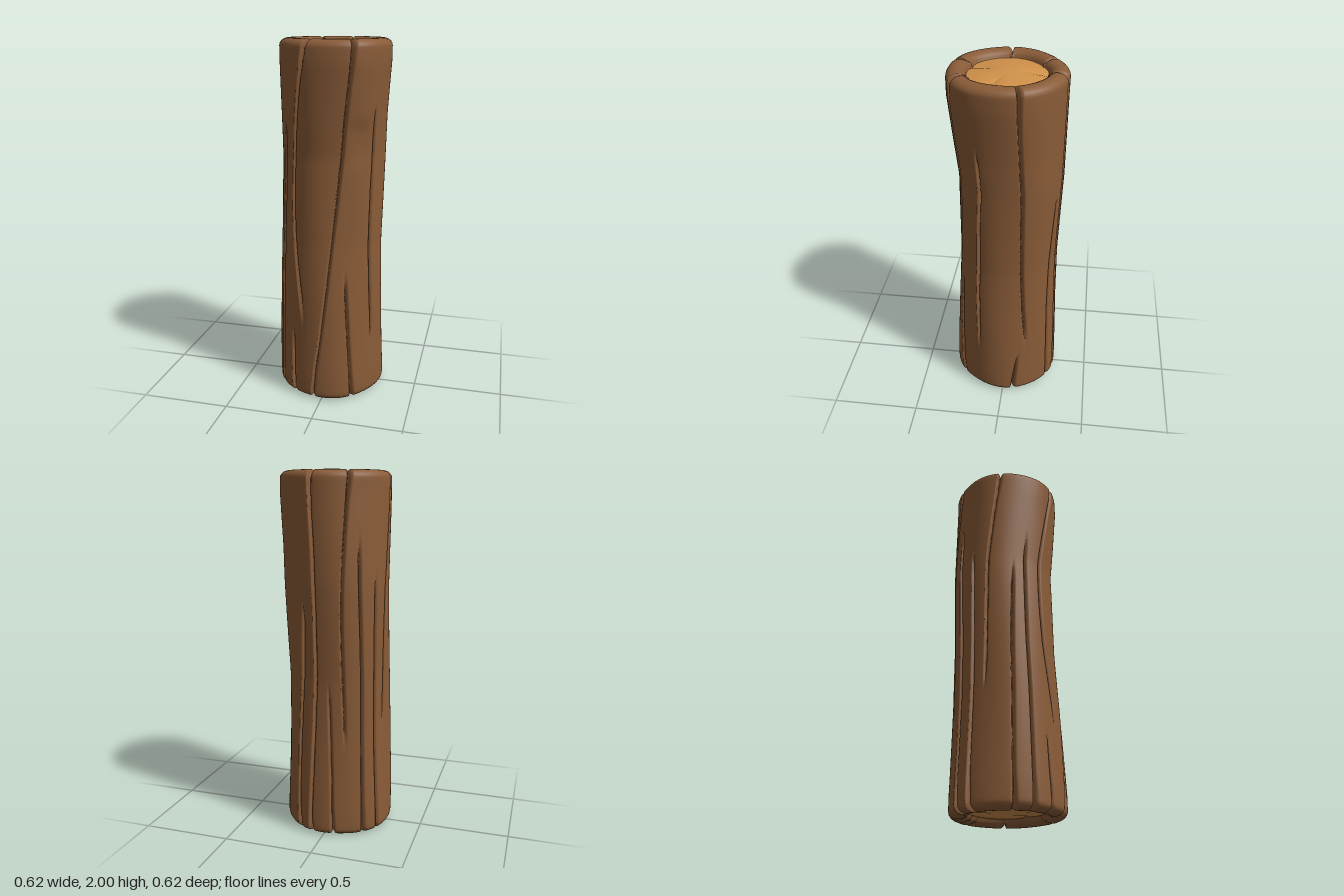
import * as THREE from 'three';

const bark = new THREE.MeshStandardMaterial({ color: 0x8a5c38 });
const wood = new THREE.MeshStandardMaterial({ color: 0xd0914a });
bark.name = 'bark brown';
wood.name = 'cut wood tan';

const { smoothstep: smooth, lerp } = THREE.MathUtils;

// Trunk outline: y, xMin, xMax, zMin, zMax
const outline = [
  [0.12, -0.312, 0.296, -0.302, 0.31],
  [0.6, -0.298, 0.282, -0.288, 0.288],
  [0.9, -0.294, 0.275, -0.286, 0.27],
  [1.4, -0.287, 0.287, -0.306, 0.26],
  [1.6, -0.286, 0.294, -0.306, 0.28],
  [1.88, -0.286, 0.316, -0.304, 0.305],
];

// Outline values at height y
function outlineAt(y) {
  let i = 1;
  while (i < outline.length - 1 && y > outline[i][0]) i++;
  const a = outline[i - 1], b = outline[i];
  const t = THREE.MathUtils.clamp((y - a[0]) / (b[0] - a[0]), 0, 1);
  return a.map((v, c) => lerp(v, b[c], t));
}

// Bark splits: low y, angle, high y, angle, sideways bow (0 = front, 90 = left side)
const splits = [
  [0.42, -19, 2, -20, -16], [0, -10, 2, 30, 4], [0, 35, 0.8, 27, 0], [0, -34, 0.45, -36, 0],
  [0.3, 63, 1.7, 62, -4], [0.33, 119, 2, 106, -4], [0, 101, 0.35, 110, 0], [0, 148, 1.35, 157, -3],
  [0, 163, 2, 170, 3], [0, 188, 0.9, 184, 1], [0.5, 203, 2, 211, -7], [0, 222, 1.7, 221, 0],
  [0, 240, 1.5, 243, -2], [0.6, 255, 2, 270, -2], [0, 284, 1.4, 291, -2], [0, 304, 1.6, 306, -1],
];

// Each split has one sharp side and one softly rounded side
function splitDepth(deg, y) {
  const end = Math.max(smooth(y, 1.75, 2), 1 - smooth(y, 0, 0.2));
  let deepest = 0;
  for (const [y0, a0, y1, a1, bow] of splits) {
    if (y < y0 || y > y1) continue;
    const t = (y - y0) / (y1 - y0);
    const angle = lerp(a0, a1, t) + bow * Math.sin(Math.PI * t);
    const off = ((deg - angle + 900) % 360) - 180;
    const near = Math.abs(off) / (off < 0 ? 1.7 : 4 + 2 * end);
    if (near >= 1) continue;
    const fadeLow = y0 > 0 ? smooth(y, y0, y0 + 0.2) : 1;
    const fadeHigh = y1 < 2 ? 1 - smooth(y, y1 - 0.2, y1) : 1;
    deepest = Math.max(deepest, 0.026 * (1 + 0.4 * end) * fadeLow * fadeHigh * (1 - near) ** 2);
  }
  return deepest;
}

// Gentle swells and a dented ledge on the bark
function swell(deg, y) {
  const a = THREE.MathUtils.degToRad(deg);
  const waves = 0.003 * Math.sin(5 * a + 2.2 * y) + 0.003 * Math.sin(3 * a - 4 * y + 1);
  const ledge = Math.exp(-(((deg - 42) / 13) ** 2)) * smooth(y, 1.3, 1.5) * (1 - smooth(y, 1.55, 1.6));
  return waves - 0.012 * ledge;
}

function barkPoint(deg, y, inset) {
  const [, x0, x1, z0, z1] = outlineAt(y);
  const cut = splitDepth(deg, y);
  const shrink = inset - swell(deg, y) + cut * (1 - smooth(inset, 0.06, 0.12));
  const notch = inset > 0 ? cut * 0.55 * (1 - smooth(inset, 0.08, 0.13)) : 0;
  const a = THREE.MathUtils.degToRad(deg);
  return [
    (x0 + x1) / 2 + ((x1 - x0) / 2 - shrink) * Math.sin(a),
    y + (y > 1 ? -notch : notch),
    (z0 + z1) / 2 + ((z1 - z0) / 2 - shrink) * Math.cos(a),
  ];
}

function makeGeometry(points, index) {
  const g = new THREE.BufferGeometry();
  g.setAttribute('position', new THREE.Float32BufferAttribute(points, 3));
  g.setIndex(index);
  g.computeVertexNormals();
  return g;
}

// Closed loops of points joined into one smooth skin
function skin(loops) {
  const index = [], columns = loops[0].length;
  for (let i = 0; i < loops.length - 1; i++) {
    for (let j = 0; j < columns; j++) {
      const k = (j + 1) % columns, a = i * columns, b = a + columns;
      index.push(a + j, a + k, b + k, a + j, b + k, b + j);
    }
  }
  return makeGeometry(loops.flat(2), index);
}

// Bark: straight wall with a rolled lip at each end
function makeBark() {
  const columns = 480, lip = [[0.08, 0.135]];
  for (let i = 10; i >= 0; i--) {
    const t = Math.PI * i / 10;
    lip.push([0.04 * (1 - Math.sin(t)), 0.05 * (1 - Math.cos(t))]);
  }
  const rows = [...lip];
  for (let i = 0; i <= 58; i++) rows.push([0.06 + 1.88 * i / 58, 0]);
  rows.push(...lip.map(([h, inset]) => [2 - h, inset]).reverse());
  const loops = rows.map(([y, inset]) =>
    Array.from({ length: columns }, (_, j) => barkPoint(j * 360 / columns, y, inset)));
  const mesh = new THREE.Mesh(skin(loops), bark);
  mesh.name = 'barkTrunk';
  return mesh;
}

// Cracks in the cut ends: outer x, z, inner x, z
const topCracks = [[0, -0.225, 0.003, -0.03], [0.2, 0.095, 0.05, 0], [-0.058, 0.2, -0.01, 0.03]];
const bottomCracks = [
  [0.02, -0.21, 0, -0.04], [0.18, 0.09, 0.05, 0.02], [-0.19, 0.06, -0.05, 0.02], [0.03, 0.2, 0.01, 0.07],
];

// Domed cut face that sinks towards its cracks
function endHeight(x, z, cracks, dome) {
  let h = dome * (1 - (x * x + z * z) / 0.053);
  for (const [ox, oz, ix, iz] of cracks) {
    const dx = ox - ix, dz = oz - iz, len = Math.hypot(dx, dz);
    const t = ((x - ix) * dx + (z - iz) * dz) / len ** 2;
    const side = Math.abs((x - ix) * dz - (z - iz) * dx) / len;
    h -= 0.012 * smooth(t, 0, 0.6) * Math.exp(-side / 0.022);
  }
  return h;
}

function makeEnd(name, y, up, dome, cracks) {
  const group = new THREE.Group();
  group.name = name;
  const add = (geometry, material, part) => {
    const mesh = new THREE.Mesh(geometry, material);
    mesh.name = name + part;
    group.add(mesh);
  };
  const pointAt = (x, z, lift) => [x, y + up * (endHeight(x, z, cracks, dome) + lift), z];

  const columns = 120, loops = [];
  for (let i = 0; i <= 24; i++) {
    const r = 0.24 * (1 - i / 24);
    loops.push(Array.from({ length: columns }, (_, j) => {
      const a = up * j * 2 * Math.PI / columns;
      return pointAt(r * Math.sin(a), r * Math.cos(a), 0);
    }));
  }
  add(skin(loops), wood, 'Face');

  // Thin dark wedges lying along the cracks
  cracks.forEach(([ox, oz, ix, iz], n) => {
    const dx = ox - ix, dz = oz - iz, len = Math.hypot(dx, dz), points = [], index = [];
    for (let i = 0; i <= 16; i++) {
      const t = i / 16, w = up * 0.0055 * Math.sqrt(t) * (1 - 0.3 * t) / len;
      for (const s of [-w, w]) points.push(...pointAt(ix + dx * t + s * dz, iz + dz * t - s * dx, 0.0025));
      const k = 2 * i;
      if (i < 16) index.push(k, k + 1, k + 2, k + 1, k + 3, k + 2);
    }
    add(makeGeometry(points, index), bark, 'Crack' + (n + 1));
  });
  return group;
}

export function createModel() {
  const model = new THREE.Group();
  model.name = 'log';
  model.add(makeBark());
  model.add(makeEnd('topCut', 1.955, 1, 0.025, topCracks));
  model.add(makeEnd('bottomCut', 0.045, -1, 0.015, bottomCracks));
  return model;
}
